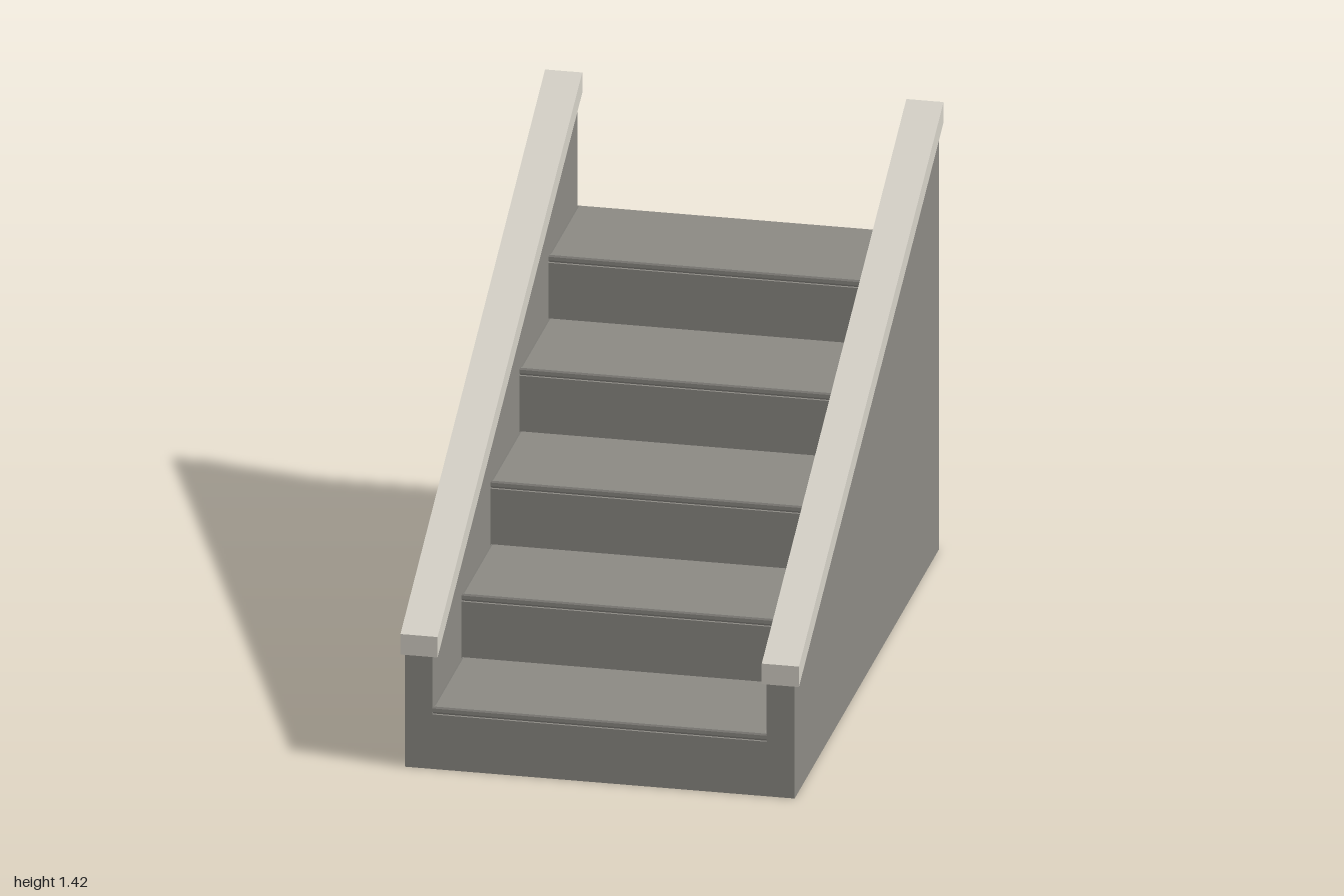
import * as THREE from 'three';

const STEPS = 5, RISE = 0.2, RUN = 0.4;
const INNER = 0.503, OUTER = 0.587;   // side wall faces
const SLAB = 0.027, BEVEL = 0.008;    // tread thickness and edge bevel

// Extrudes a (z, y) side profile across x from x0 to x1.
function sideExtrude(points, x0, x1) {
  const shape = new THREE.Shape(points.map(([z, y]) => new THREE.Vector2(-z, y)));
  const geo = new THREE.ExtrudeGeometry(shape, { depth: x1 - x0, bevelEnabled: false });
  geo.rotateY(Math.PI / 2);
  geo.translate(x0, 0, 0);
  return geo;
}

// Flat slab with all edges bevelled, top at y = 0, centred on x and z.
function treadGeometry(width, depth) {
  const w = width / 2, d = depth / 2;
  const shape = new THREE.Shape([
    new THREE.Vector2(-w, -d), new THREE.Vector2(w, -d),
    new THREE.Vector2(w, d), new THREE.Vector2(-w, d),
  ]);
  const geo = new THREE.ExtrudeGeometry(shape, {
    depth: SLAB - 2 * BEVEL, bevelThickness: BEVEL,
    bevelSize: BEVEL, bevelOffset: -BEVEL, bevelSegments: 2,
  });
  geo.rotateX(-Math.PI / 2);
  geo.translate(0, BEVEL - SLAB, 0);
  return geo;
}

export function createModel() {
  const group = new THREE.Group();
  group.name = 'staircase';
  const stone = new THREE.MeshStandardMaterial({ name: 'darkStone', color: 0x8c8a84 });
  const coping = new THREE.MeshStandardMaterial({ name: 'paleCoping', color: 0xd6d2c8 });

  const add = (name, geo, mat) => {
    const mesh = new THREE.Mesh(geo, mat);
    mesh.name = name;
    group.add(mesh);
    return mesh;
  };

  // Solid stepped core under the treads
  const profile = [[-1, 0], [1, 0]];
  for (let i = 0; i < STEPS; i++) {
    const y = RISE * (i + 1) - SLAB;
    profile.push([1 - RUN * i, y], [1 - RUN * (i + 1), y]);
  }
  add('stepCore', sideExtrude(profile, -INNER, INNER), stone);

  // Treads
  const tread = treadGeometry(2 * INNER, RUN);
  for (let i = 0; i < STEPS; i++) {
    add(`tread${i + 1}`, tread, stone).position.set(0, RISE * (i + 1), 1 - RUN * (i + 0.5));
  }

  // Sloped side walls and their overhanging copings
  const wall = [[-1, 0], [1, 0], [1, 0.355], [-1, 1.355]];
  const cap = [[-1, 1.355], [1, 0.355], [1, 0.42], [-1, 1.42]];
  for (const [side, s] of [['left', 1], ['right', -1]]) {
    const span = (a, b) => (s > 0 ? [a, b] : [-b, -a]);
    add(`${side}Wall`, sideExtrude(wall, ...span(INNER, OUTER)), stone);
    add(`${side}Coping`, sideExtrude(cap, ...span(0.488, 0.6)), coping);
  }
  return group;
}
